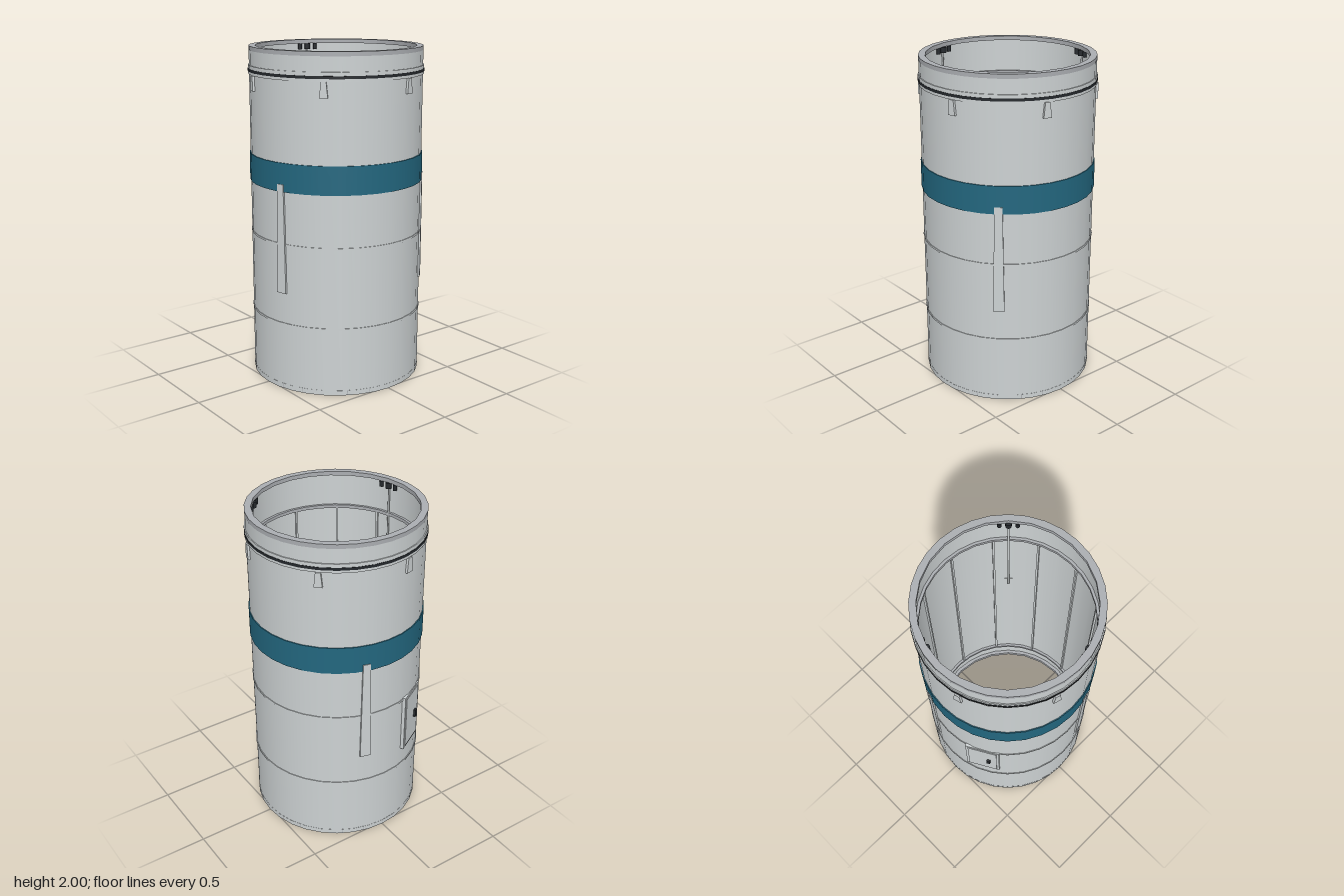
import * as THREE from 'three';
import { mergeGeometries } from 'three/addons/utils/BufferGeometryUtils.js';

const mat = (name, color) => Object.assign(new THREE.MeshStandardMaterial({ color }), { name });
const deg = THREE.MathUtils.degToRad;

// Hollow ring with crisp rims: inner/outer radius, bottom/top height
function ringGeometry(inner, outer, y0, y1, sides = 32) {
  const c = [[outer, y0], [outer, y1], [inner, y1], [inner, y0]].map(p => new THREE.Vector2(...p));
  return mergeGeometries(c.map((p, i) => new THREE.LatheGeometry([p, c[(i + 1) % 4]], sides)));
}

// Upright plate, tapered from bottom to top, standing between two radii
function plateGeometry(bottomW, topW, y0, y1, r0, r1) {
  const s = new THREE.Shape();
  s.moveTo(-bottomW / 2, y0);
  s.lineTo(bottomW / 2, y0);
  s.lineTo(topW / 2, y1);
  s.lineTo(-topW / 2, y1);
  s.closePath();
  return new THREE.ExtrudeGeometry(s, { depth: r1 - r0, bevelEnabled: false }).translate(0, 0, r0);
}

export function createModel() {
  const model = new THREE.Group();
  model.name = 'interstage';
  const shell = mat('shellGrey', 0xcdd2d3);
  const rim = mat('rimGrey', 0xabaeb2);
  const blue = mat('bandBlue', 0x23677f);
  const dark = mat('sealBlack', 0x24282c);

  const add = (name, geometry, material, parent = model) => {
    const m = new THREE.Mesh(geometry, material);
    m.name = name;
    parent.add(m);
    return m;
  };
  // Group turned about the vertical axis; its +z points outwards
  const spoke = (name, angle) => {
    const g = new THREE.Group();
    g.name = name;
    g.rotation.y = deg(angle);
    model.add(g);
    return g;
  };

  // Main shell and its end lips
  add('shell', ringGeometry(0.498, 0.514, 0.004, 1.994), shell);
  add('topLip', ringGeometry(0.476, 0.513, 1.975, 2, 24), rim);
  add('topFlange', ringGeometry(0.496, 0.515, 1.975, 2), rim);
  add('bottomLip', ringGeometry(0.478, 0.513, 0, 0.03, 24), rim);
  add('bottomFlange', ringGeometry(0.496, 0.515, 0, 0.03), shell);

  // Outer bands
  add('blueBand', ringGeometry(0.508, 0.52, 1.205, 1.372), blue);
  add('collar', ringGeometry(0.508, 0.52, 1.837, 1.89), shell);
  add('seal', ringGeometry(0.51, 0.522, 1.853, 1.869), dark);
  for (const y of [0.41, 0.893]) add('hoop', ringGeometry(0.505, 0.518, y - 0.006, y + 0.006), shell);

  // Inner frames and stringers
  for (const y of [0.15, 1.77]) add('innerFrame', ringGeometry(0.482, 0.505, y - 0.01, y + 0.01), rim);
  for (let i = 0; i < 12; i++) {
    const g = spoke('stringerMount', 25 + i * 30);
    add('stringer', new THREE.BoxGeometry(0.012, 1.6, 0.016).translate(0, 0.96, 0.493), shell, g);
  }

  // Six latch tabs under the collar
  for (let i = 0; i < 6; i++) {
    const g = spoke('latch', -15 + i * 60);
    add('latchTab', plateGeometry(0.048, 0.03, 1.75, 1.838, 0.505, 0.526), shell, g);
  }

  // Three fairings outside, each with pushers inside
  for (let i = 0; i < 3; i++) {
    const g = spoke('separationStation', 15 + i * 120);
    add('fairing', plateGeometry(0.066, 0.046, 0.6, 1.248, 0.495, 0.522), shell, g);
    for (const [a, r] of [[-6, 0.012], [0, 0.018], [6, 0.012]]) {
      const x = Math.sin(deg(a)) * 0.478, z = Math.cos(deg(a)) * 0.478;
      add('pusherCap', new THREE.CylinderGeometry(r, r, 0.035, 12).translate(x, 1.957, z), dark, g);
    }
    add('pusherRod', new THREE.CylinderGeometry(0.006, 0.006, 0.74, 8).translate(0, 1.57, 0.485), shell, g);
  }

  // Flat access hatch with handle
  const hatch = spoke('hatch', 300);
  add('hatchFrame', new THREE.BoxGeometry(0.212, 0.376, 0.03).translate(-0.022, 0.717, 0.501), shell, hatch);
  add('hatchDoor', new THREE.BoxGeometry(0.18, 0.345, 0.008).translate(-0.022, 0.717, 0.516), shell, hatch);
  add('hatchHandle', new THREE.BoxGeometry(0.022, 0.05, 0.014).translate(0.018, 0.713, 0.526), dark, hatch);

  return model;
}
